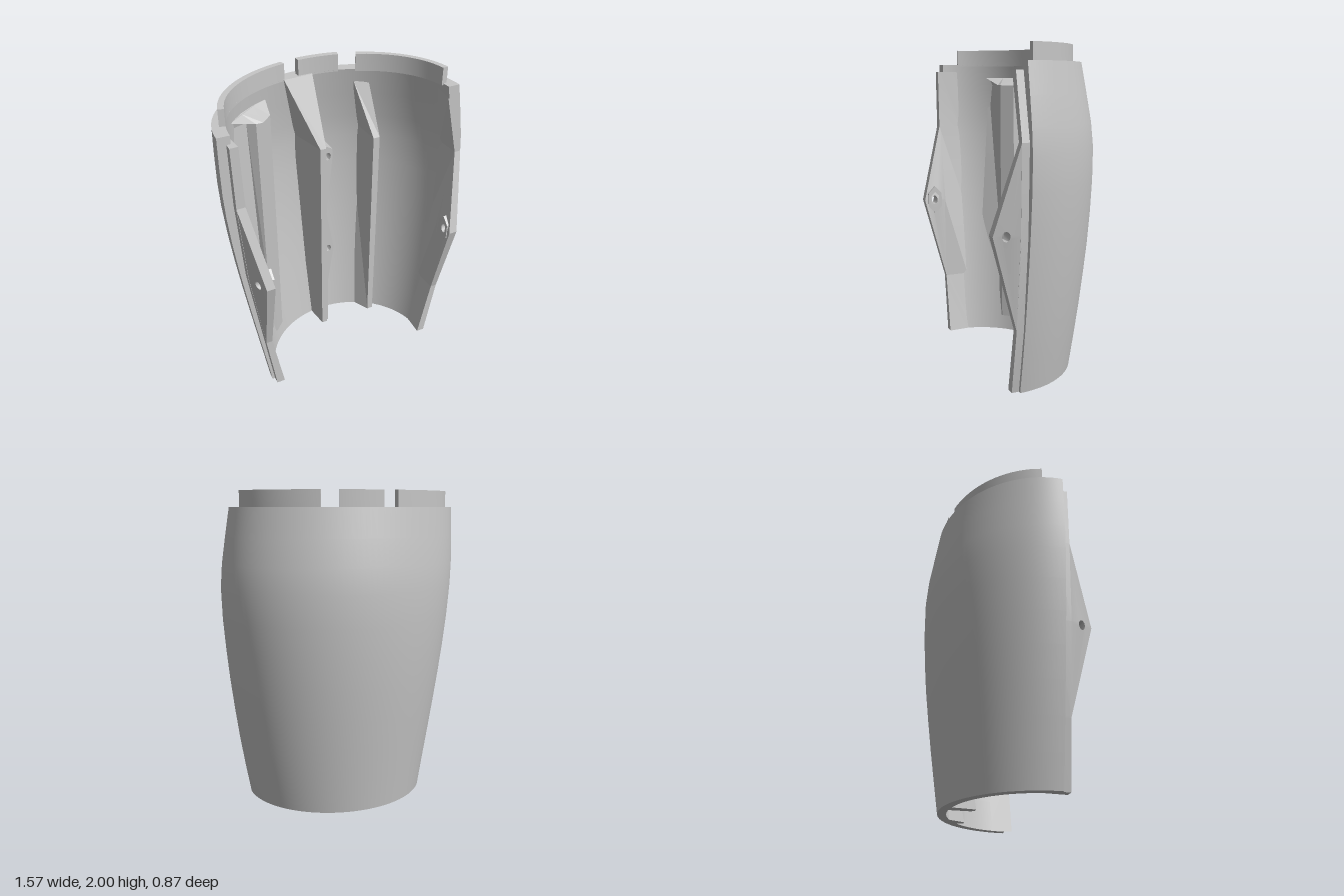
import * as THREE from 'three';
import { toCreasedNormals } from 'three/addons/utils/BufferGeometryUtils.js';

const plastic = new THREE.MeshStandardMaterial({ color: 0xc6c6c6 });
plastic.name = 'grey plastic';

// Shell outline by height: [y, left x, right x, back z]
const OUTLINE = [
  [0, -0.575, 0.622, -0.31], [0.2, -0.607, 0.658, -0.336], [0.4, -0.64, 0.69, -0.362],
  [0.6, -0.672, 0.717, -0.386], [0.8, -0.703, 0.741, -0.408], [1.0, -0.732, 0.76, -0.424],
  [1.2, -0.757, 0.775, -0.434], [1.4, -0.776, 0.78, -0.436], [1.55, -0.784, 0.768, -0.423],
  [1.72, -0.786, 0.742, -0.395], [1.9, -0.785, 0.712, -0.365],
];
const EDGE_Z = 0.245;

// Linear lookup of a column in a table of rows sorted by y
function look(table, y, col) {
  let i = 1;
  while (i < table.length - 1 && table[i][0] < y) i++;
  const a = table[i - 1], b = table[i];
  const t = THREE.MathUtils.clamp((y - a[0]) / (b[0] - a[0]), 0, 1);
  return a[col] + (b[col] - a[col]) * t;
}
const thickness = y => 0.055 + 0.02 * Math.min(y, 1.9) / 1.9;

// Half-ellipse of the shell at height y, moved inwards
function ellipse(y, inset) {
  const l = look(OUTLINE, y, 1), r = look(OUTLINE, y, 2);
  return { cx: (l + r) / 2, a: (r - l) / 2 - inset, b: EDGE_Z - look(OUTLINE, y, 3) - inset };
}
function arc(y, inset, from, to, n) {
  const e = ellipse(y, inset), pts = [];
  for (let i = 0; i <= n; i++) {
    const t = from + (to - from) * i / n;
    pts.push(new THREE.Vector3(e.cx + e.a * Math.cos(t), y, EDGE_Z - e.b * Math.sin(t)));
  }
  return pts;
}
// Depth just behind the inner wall, for rooting ribs
function wallZ(x, y) {
  const e = ellipse(y, thickness(y) - 0.02);
  return EDGE_Z - e.b * Math.sqrt(Math.max(0, 1 - ((x - e.cx) / e.a) ** 2));
}
// Distance of the inner wall from the middle on one side
function wallX(side, y, z) {
  const e = ellipse(y, thickness(y) - 0.005);
  return side * e.cx + e.a * Math.sqrt(1 - ((EDGE_Z - z) / e.b) ** 2);
}

// Turns a closed solid outwards and gives it sharp edges
function finish(geo, name, crease = 0.45) {
  const g = geo.index ? geo.toNonIndexed() : geo;
  g.clearGroups();
  g.deleteAttribute('uv');
  const p = g.attributes.position, v = [0, 1, 2].map(() => new THREE.Vector3());
  let volume = 0;
  for (let i = 0; i < p.count; i += 3) {
    v.forEach((q, k) => q.fromBufferAttribute(p, i + k));
    volume += v[0].dot(v[1].clone().cross(v[2]));
  }
  if (volume < 0) {
    for (let i = 0; i < p.count; i += 3) {
      v.forEach((q, k) => q.fromBufferAttribute(p, i + k));
      p.setXYZ(i + 1, v[2].x, v[2].y, v[2].z);
      p.setXYZ(i + 2, v[1].x, v[1].y, v[1].z);
    }
  }
  g.deleteAttribute('normal');
  const mesh = new THREE.Mesh(toCreasedNormals(g, crease), plastic);
  mesh.name = name;
  return mesh;
}

// Solid through closed horizontal rings, capped at both ends
function loft(rings, name, crease) {
  const n = rings[0].length, pos = [], idx = [];
  rings.forEach(r => r.forEach(q => pos.push(q.x, q.y, q.z)));
  for (let j = 0; j < rings.length - 1; j++) {
    for (let i = 0; i < n; i++) {
      const a = j * n + i, b = j * n + (i + 1) % n;
      idx.push(a, b, a + n, b, b + n, a + n);
    }
  }
  const last = (rings.length - 1) * n;
  const cap = (ring, base, flip) => {
    const flat = ring.map(q => new THREE.Vector2(q.x, q.z));
    const cw = THREE.ShapeUtils.isClockWise(flat);
    for (const [a, b, c] of THREE.ShapeUtils.triangulateShape(flat, [])) {
      if (flip !== cw) idx.push(base + a, base + b, base + c);
      else idx.push(base + a, base + c, base + b);
    }
  };
  const cw = THREE.ShapeUtils.isClockWise(rings[0].map(q => new THREE.Vector2(q.x, q.z)));
  cap(rings[0], 0, !cw);
  cap(rings[rings.length - 1], last, cw);
  const g = new THREE.BufferGeometry();
  g.setAttribute('position', new THREE.Float32BufferAttribute(pos, 3));
  g.setIndex(idx);
  return finish(g, name, crease);
}

// Rib rooted in the wall; levels are [y, left wall x, right wall x, front points [x, z]...]
function rib(levels, name) {
  return loft(levels.map(([y, l, r, ...front]) => [
    new THREE.Vector3(l, y, wallZ(l, y)),
    ...front.map(([x, z]) => new THREE.Vector3(x, y, z)),
    new THREE.Vector3(r, y, wallZ(r, y)),
  ]), name, 0.15);
}

// Extrudes a shape one unit deep, then moves every vertex by a rule
function warped(shape, rule, name) {
  const g = new THREE.ExtrudeGeometry(shape, { depth: 1, bevelEnabled: false, curveSegments: 6 });
  const p = g.attributes.position;
  for (let i = 0; i < p.count; i++) p.setXYZ(i, ...rule(p.getX(i), p.getY(i), p.getZ(i)));
  return finish(g, name);
}
const polygon = pts => new THREE.Shape(pts.map(([x, y]) => new THREE.Vector2(x, y)));
const hole = (x, y, rx, ry) => new THREE.Path().absellipse(x, y, rx, ry, 0, Math.PI * 2, true);
const hexagon = (x, y, rx, ry) => polygon([0, 1, 2, 3, 4, 5].map(i =>
  [x + rx * Math.sin(i * Math.PI / 3), y + ry * Math.cos(i * Math.PI / 3)]));

// Front edge: strip faired into the wall, pointed tab with a hole, and hexagonal nut seat.
// Rows are [y, inner x, outer x]
function sideEdge(side, rows, lean, name) {
  const group = new THREE.Group();
  group.name = name;
  group.add(loft(rows.map(([y, inner, outer]) =>
    [[wallX(side, y, 0.13), 0.13], [outer, 0.2], [outer, 0.29], [inner, 0.29]]
      .map(([x, z]) => new THREE.Vector3(side * x, y, z))), 'edgeStrip', 0.1));
  const tab = polygon([[0.285, 0.4], [0.29, 0.4], [0.435, 0.96], [0.29, 1.47], [0.285, 1.47], [0.285, 0.96]]);
  tab.holes.push(hole(0.365, 0.96, 0.022, 0.03));
  group.add(warped(tab, (z, y, w) => {
    const inner = look(rows, y, 1);
    const outer = look(rows, y, 2) - lean * Math.max(0, z - 0.29);
    return [side * (inner + (outer - inner) * w), y, z];
  }, 'pointedTab'));
  const seat = hexagon(0.362, 0.96, 0.055, 0.095);
  seat.holes.push(hexagon(0.362, 0.96, 0.033, 0.057));
  const x = look(rows, 0.96, 1);
  group.add(warped(seat, (z, y, w) => [side * (x - 0.006 + 0.03 * w), y, z], 'nutSeat'));
  return group;
}

export function createModel() {
  const model = new THREE.Group();
  model.name = 'curvedHalfShell';

  // Curved shell
  model.add(loft(OUTLINE.map(([y]) => [
    ...arc(y, 0, 0, Math.PI, 64),
    ...arc(y, thickness(y), Math.PI, 0, 64),
  ]), 'shell'));

  // Raised segments on the top rim: [start angle, end angle, outer inset, inner inset]
  for (const [from, to, outer, inner] of [
    [0.1, 1.1, 0.05, 0.085], [1.265, 1.647, 0.035, 0.075], [1.79, 2.94, 0.04, 0.075],
  ]) {
    const section = [...arc(1.9, outer, from, to, 18), ...arc(1.9, inner, to, from, 18)];
    model.add(loft([1.89, 2].map(y =>
      section.map(q => new THREE.Vector3(q.x, y, q.z))), 'rimSegment'));
  }

  // Side edges
  model.add(sideEdge(1, [
    [0, 0.55, 0.602], [0.4, 0.63, 0.672], [0.96, 0.622, 0.728], [1.47, 0.7, 0.742], [1.85, 0.61, 0.66],
  ], 0.35, 'leftEdge'));
  model.add(sideEdge(-1, [
    [0, 0.505, 0.558], [0.4, 0.575, 0.615], [0.96, 0.583, 0.695], [1.47, 0.675, 0.728], [1.85, 0.685, 0.735],
  ], 0.4, 'rightEdge'));

  // Right rib, its top sloping back to a wide root on the wall
  model.add(rib([
    [0.1, -0.46, -0.335, [-0.455, -0.09], [-0.44, -0.075], [-0.4, -0.075], [-0.337, -0.14]],
    [0.55, -0.575, -0.335, [-0.468, -0.1], [-0.447, -0.07], [-0.405, -0.07], [-0.337, -0.14]],
    [1.76, -0.62, -0.34, [-0.5, -0.11], [-0.455, -0.07], [-0.41, -0.07], [-0.34, -0.14]],
    [1.81, -0.63, -0.32, ...[-0.615, -0.52, -0.42, -0.325].map(x => [x, wallZ(x, 1.81) + 0.025])],
  ], 'rightRib'));

  // Central rib with a sloping top
  model.add(rib([
    [0, -0.055, 0.015, [-0.035, -0.1], [0.005, -0.1]],
    [1.47, -0.1, 0.02, [-0.035, -0.1], [0.005, -0.1]],
    [1.9, -0.195, 0.015, [-0.19, -0.27], [0, -0.28]],
  ], 'centralRib'));

  // Zigzag plate with two screw holes beside the central rib
  const plate = polygon([[0, 0], [0.02, 0], [0.02, 0.38], [0.065, 0.67], [0.012, 0.96],
    [0.055, 1.38], [0.055, 1.45], [0.02, 1.47], [0, 1.47]]);
  for (const y of [0.67, 1.4]) plate.holes.push(hole(0.024, y, 0.02, 0.027));
  model.add(warped(plate, (x, y, w) => {
    const back = wallZ(x, y);
    return [x, y, back + (-0.115 - back) * w];
  }, 'zigzagPlate'));

  // Left rib
  model.add(rib([
    [0, 0.27, 0.385, [0.338, -0.085], [0.378, -0.085]],
    [1, 0.33, 0.405, [0.336, -0.085], [0.38, -0.085]],
    [1.47, 0.33, 0.415, [0.335, -0.085], [0.38, -0.085]],
    [1.81, 0.265, 0.362, [0.27, -0.25], [0.358, -0.215]],
  ], 'leftRib'));

  return model;
}
